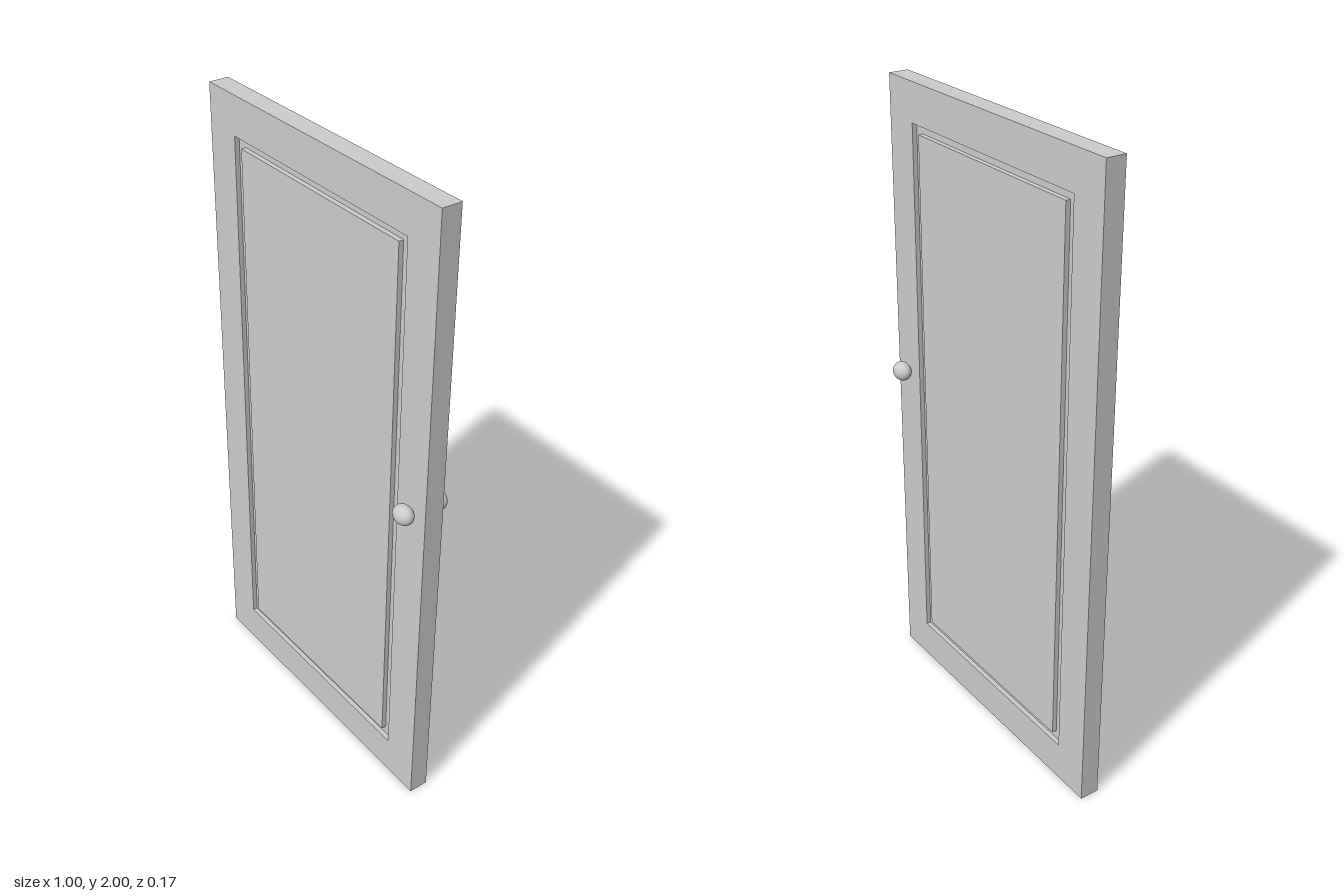
import * as THREE from 'three';

const THICK = 0.062;   // door thickness
const GROOVE = 0.015;  // groove depth on each face
const OUTER = { x: 0.38, y0: 0.125, y1: 1.88 };   // frame opening
const INNER = { x: 0.348, y0: 0.153, y1: 1.854 }; // raised panel

function rect(path, { x, y0, y1 }) {
  path.moveTo(-x, y0);
  path.lineTo(x, y0);
  path.lineTo(x, y1);
  path.lineTo(-x, y1);
  path.closePath();
  return path;
}

// Rectangular ring of a given thickness, centred on z = 0
function ring(outer, inner, depth) {
  const shape = rect(new THREE.Shape(), outer);
  shape.holes.push(rect(new THREE.Path(), inner));
  return new THREE.ExtrudeGeometry(shape, { depth, bevelEnabled: false }).translate(0, 0, -depth / 2);
}

export function createModel() {
  const door = new THREE.Group();
  door.name = 'door';
  const material = new THREE.MeshStandardMaterial({ color: 0xcccccc });
  const add = (name, geometry) => {
    const mesh = new THREE.Mesh(geometry, material);
    mesh.name = name;
    door.add(mesh);
    return mesh;
  };

  // Outer frame and the sunken strip that forms the groove on both faces
  add('frame', ring({ x: 0.5, y0: 0, y1: 2 }, OUTER, THICK));
  add('grooveFloor', ring(OUTER, INNER, THICK - 2 * GROOVE));

  // Centre panel, flush with the frame
  const panel = new THREE.BoxGeometry(2 * INNER.x, INNER.y1 - INNER.y0, THICK);
  add('panel', panel).position.y = (INNER.y0 + INNER.y1) / 2;

  // Flattened knobs on both faces
  for (const side of [1, -1]) {
    const knob = add(side > 0 ? 'frontKnob' : 'backKnob', new THREE.SphereGeometry(1, 32, 24));
    knob.scale.set(0.035, 0.03, 0.027);
    knob.position.set(0.44, 1.08, side * 0.0585);
  }
  return door;
}
